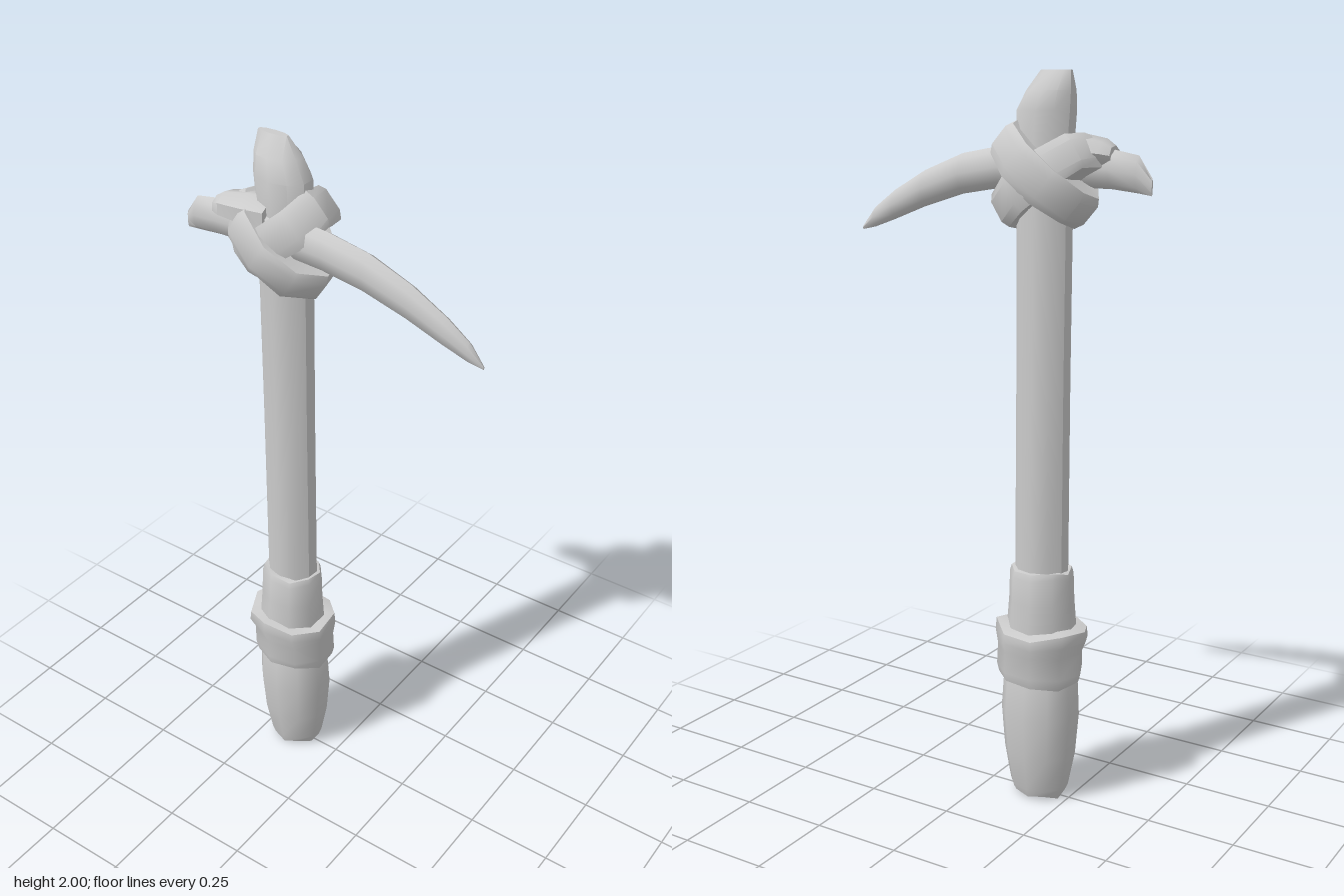
import * as THREE from 'three';
import { toCreasedNormals } from 'three/addons/utils/BufferGeometryUtils.js';

const AXIS_Z = -0.155;
const material = new THREE.MeshStandardMaterial({ color: 0xcccccc, side: THREE.DoubleSide });

// Skin a list of equal-length point rings and close both ends with fans.
function loft(rings, crease) {
  const n = rings[0].length, points = [], index = [];
  rings.forEach(r => r.forEach(p => points.push(p)));
  for (let i = 0; i < rings.length - 1; i++) {
    for (let j = 0; j < n; j++) {
      const a = i * n + j, b = i * n + (j + 1) % n;
      index.push(a, b, b + n, a, b + n, a + n);
    }
  }
  [0, rings.length - 1].forEach((i, end) => {
    const c = points.length;
    const mid = rings[i].reduce((s, p) => s.add(p), new THREE.Vector3()).divideScalar(n);
    points.push(mid);
    for (let j = 0; j < n; j++) {
      const a = i * n + j, b = i * n + (j + 1) % n;
      if (end) index.push(c, a, b); else index.push(c, b, a);
    }
  });
  const g = new THREE.BufferGeometry().setFromPoints(points);
  g.setIndex(index);
  return toCreasedNormals(g, crease);
}

// Upright sections [y, rx, rz, cx, cz, wobble]; wobble makes the rim uneven.
function upright(sections, sides, crease = 0.9, phase = 0) {
  return loft(sections.map(([y, rx, rz, cx = 0, cz = 0, wobble = 0]) =>
    Array.from({ length: sides }, (_, j) => {
      const a = (j / sides) * Math.PI * 2 + phase;
      const dy = wobble * Math.sin(j * 2.3 + y * 9);
      return new THREE.Vector3(cx + rx * Math.cos(a), y + dy, cz - rz * Math.sin(a));
    })), crease);
}

// Sections along z [z, cx, cy, rx, ry].
function along(sections, sides) {
  return loft(sections.map(([z, cx, cy, rx, ry]) =>
    Array.from({ length: sides }, (_, j) => {
      const a = (j / sides) * Math.PI * 2;
      return new THREE.Vector3(cx + rx * Math.cos(a), cy + ry * Math.sin(a), z);
    })), 0.9);
}

export function createModel() {
  const group = new THREE.Group();
  const add = (name, geometry, x = 0, y = 0, z = 0, rx = 0, rz = 0) => {
    const mesh = new THREE.Mesh(geometry, material);
    mesh.name = name;
    mesh.position.set(x, y, z);
    mesh.rotation.set(rx, 0, rz);
    group.add(mesh);
  };

  // Wooden shaft ending in a slanted broken tip
  add('shaft', upright([
    [0.55, 0.062, 0.077],
    [1.2, 0.061, 0.076],
    [1.8, 0.06, 0.078],
    [1.9, 0.061, 0.082, -0.003, -0.002],
    [1.95, 0.048, 0.068, 0.002, -0.018],
    [2.0, 0.012, 0.046, 0.004, -0.034],
  ], 10, 0.7), 0, 0, AXIS_Z);

  // Bulging butt of the handle
  add('grip', upright([
    [0.007, 0.066, 0.076, 0.003, 0, 0.007],
    [0.03, 0.072, 0.085, 0.003],
    [0.13, 0.088, 0.104, 0.002],
    [0.25, 0.096, 0.114, 0.002],
    [0.34, 0.091, 0.109],
    [0.4, 0.08, 0.1],
  ], 10), 0, 0, AXIS_Z);

  // Thick collar with a flared rim
  add('gripCollar', upright([
    [0.35, 0.075, 0.09, 0, 0, 0.005],
    [0.352, 0.1, 0.12, 0.004, 0, 0.006],
    [0.38, 0.107, 0.126, 0.004],
    [0.44, 0.107, 0.124, 0.002],
    [0.475, 0.119, 0.135, 0.002, -0.005, 0.008],
    [0.505, 0.116, 0.132, 0.002, -0.005, 0.011],
    [0.51, 0.08, 0.095, 0, 0, 0.006],
  ], 9, 0.9, 0.2), 0, 0, AXIS_Z);

  // Thin sleeve above the collar
  add('gripSleeve', upright([
    [0.48, 0.091, 0.102, -0.002],
    [0.58, 0.085, 0.094, -0.001],
    [0.655, 0.081, 0.092, 0, 0, 0.006],
    [0.672, 0.075, 0.087, 0, 0, 0.006],
    [0.672, 0.058, 0.07],
  ], 9, 0.9, 0.1), 0, 0, AXIS_Z);

  // Curved pick running through the head, with a chisel-like stub at the back
  add('pick', along([
    [-0.445, -0.034, 1.715, 0.003, 0.022],
    [-0.405, -0.038, 1.745, 0.023, 0.047],
    [-0.33, -0.04, 1.755, 0.03, 0.05],
    [-0.15, -0.04, 1.762, 0.034, 0.056],
    [0, -0.038, 1.75, 0.034, 0.055],
    [0.12, -0.036, 1.728, 0.032, 0.054],
    [0.24, -0.031, 1.684, 0.027, 0.049],
    [0.34, -0.027, 1.635, 0.021, 0.04],
    [0.405, -0.023, 1.598, 0.014, 0.027],
    [0.445, -0.019, 1.567, 0.002, 0.005],
  ], 8));

  // Upper rear lump of wrapping that holds the stub
  add('rearKnot', along([
    [-0.335, -0.04, 1.79, 0.03, 0.025],
    [-0.31, -0.038, 1.795, 0.044, 0.037],
    [-0.24, -0.03, 1.8, 0.062, 0.045],
    [-0.17, -0.02, 1.8, 0.06, 0.045],
  ], 7));

  // Two chunky straps crossing over the joint
  const strap = (rx, rz) => upright([
    [-0.048, rx * 0.65, rz * 0.6],
    [-0.052, rx * 0.92, rz * 0.93, 0, 0, 0.005],
    [-0.03, rx, rz],
    [0.03, rx, rz],
    [0.052, rx * 0.92, rz * 0.93, 0, 0, 0.005],
    [0.048, rx * 0.65, rz * 0.6],
  ], 9, 0.8, 0.35);
  add('strapFrontHigh', strap(0.112, 0.165), 0.006, 1.743, AXIS_Z - 0.005, -0.7, 0.06);
  add('strapBackHigh', strap(0.116, 0.165), -0.004, 1.72, AXIS_Z - 0.005, 0.62, 0.08);

  return group;
}
